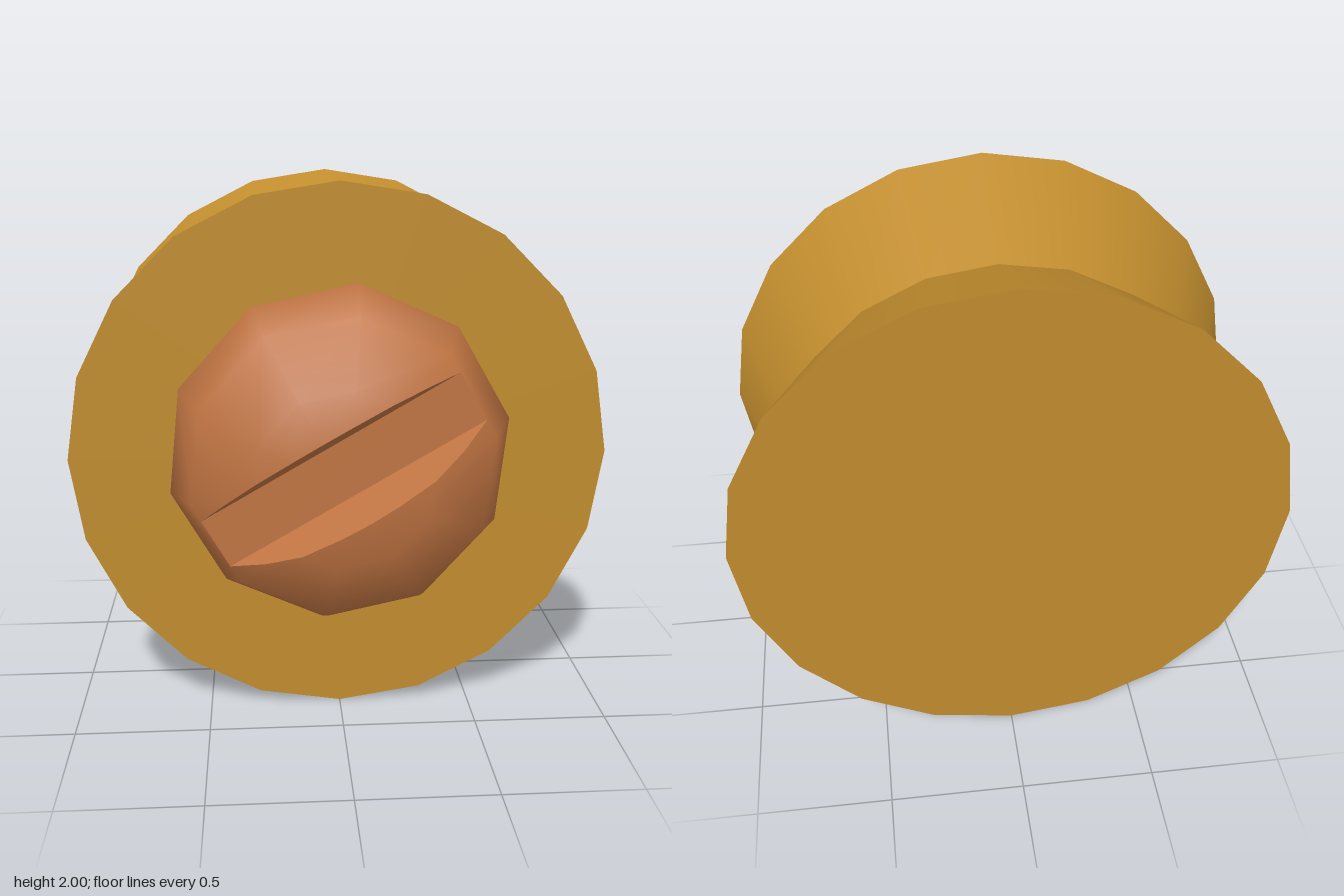
import * as THREE from 'three';

const SIDES = 20, FRONT = 0.295, BACK = -0.665, WAIST = 0.81;
const DOME_R = 0.645, DOME_H = 0.39;
const FLOOR_Z = FRONT + DOME_H / 2, SLOT = 0.1, SLOPE = 0.39;

const gold = new THREE.MeshStandardMaterial({ color: 0xc08c2d });
const copper = new THREE.MeshStandardMaterial({ color: 0xc07442 });

function add(group, geometry, material, name) {
  const mesh = new THREE.Mesh(geometry, material);
  mesh.name = name;
  group.add(mesh);
  return mesh;
}

// Point on the squashed dome: ring 0 is the rim, ring 3 the pole
function domePoint(ring, sector) {
  const a = ring * Math.PI / 6, t = (sector * 36 - 18) * Math.PI / 180;
  const r = DOME_R * Math.cos(a);
  return new THREE.Vector3(r * Math.cos(t), r * Math.sin(t), FRONT + DOME_H * Math.sin(a));
}

// Keep the part of a polygon beyond one sloping slot wall (side = 1 or -1)
function clip(poly, side, cuts) {
  const dist = p => side * p.y - SLOT - SLOPE * (p.z - FLOOR_Z);
  const out = [];
  poly.forEach((p, i) => {
    const q = poly[(i + 1) % poly.length], a = dist(p), b = dist(q);
    if (a >= 0) out.push(p);
    if (a * b < 0) {
      const c = p.clone().lerp(q, a / (a - b));
      out.push(c);
      cuts.push(c);
    }
  });
  return out;
}

// Fan-triangulate polygons; smooth ones get the dome's own normals
function polysToGeometry(polys, smooth) {
  const pts = [];
  for (const p of polys)
    for (let i = 1; i < p.length - 1; i++) pts.push(p[0], p[i], p[i + 1]);
  const geo = new THREE.BufferGeometry().setFromPoints(pts);
  geo.computeVertexNormals();
  if (smooth) pts.forEach((p, i) => {
    const n = new THREE.Vector3(p.x / DOME_R ** 2, p.y / DOME_R ** 2, (p.z - FRONT) / DOME_H ** 2).normalize();
    geo.attributes.normal.setXYZ(i, n.x, n.y, n.z);
  });
  return geo;
}

function createScrewHead() {
  const head = new THREE.Group();
  head.name = 'screwHead';
  const shell = [], cuts = { '1': [], '-1': [] };
  for (let ring = 0; ring < 3; ring++) {
    for (let s = 0; s < 10; s++) {
      const face = [domePoint(ring, s), domePoint(ring, s + 1)];
      if (ring < 2) face.push(domePoint(ring + 1, s + 1), domePoint(ring + 1, s));
      else face.push(domePoint(3, 0));
      if (ring === 0) shell.push(face);
      else for (const side of [1, -1]) {
        const part = clip(face, side, cuts[side]);
        if (part.length > 2) shell.push(part);
      }
    }
  }
  add(head, polysToGeometry(shell, true), copper, 'dome');

  // Slot walls follow the cut edge of the dome
  for (const side of [1, -1]) {
    const edge = cuts[side].sort((a, b) => side * (a.x - b.x));
    add(head, polysToGeometry([edge.slice().reverse()].map(e => e.reverse()), false), copper, 'slotWall')
      .material = Object.assign(copper.clone(), { side: THREE.DoubleSide });
  }

  // Slot floor
  const floor = new THREE.PlaneGeometry(2 * DOME_R * Math.cos(Math.PI / 6) * Math.cos(Math.PI / 10), 2 * SLOT);
  add(head, floor, copper, 'slotFloor').position.z = FLOOR_Z;

  head.rotation.z = Math.PI / 6;
  return head;
}

function createPulley() {
  const pulley = new THREE.Group();
  pulley.name = 'pulley';
  const half = (FRONT - BACK) / 2, mid = (FRONT + BACK) / 2;
  for (const side of [1, -1]) {
    // Flared half of the groove
    const flare = new THREE.CylinderGeometry(side > 0 ? 1 : WAIST, side > 0 ? WAIST : 1, half, SIDES, 1, true);
    flare.rotateX(Math.PI / 2);
    add(pulley, flare, gold, side > 0 ? 'frontFlare' : 'backFlare').position.z = mid + side * half / 2;
    // Flat end face
    const disc = new THREE.CircleGeometry(1, SIDES);
    if (side < 0) disc.rotateY(Math.PI);
    add(pulley, disc, gold, side > 0 ? 'frontFace' : 'backFace').position.z = mid + side * half;
  }
  return pulley;
}

export function createModel() {
  const model = new THREE.Group();
  model.name = 'pulleyWithScrew';
  model.add(createPulley(), createScrewHead());
  model.position.y = 1;
  return model;
}
